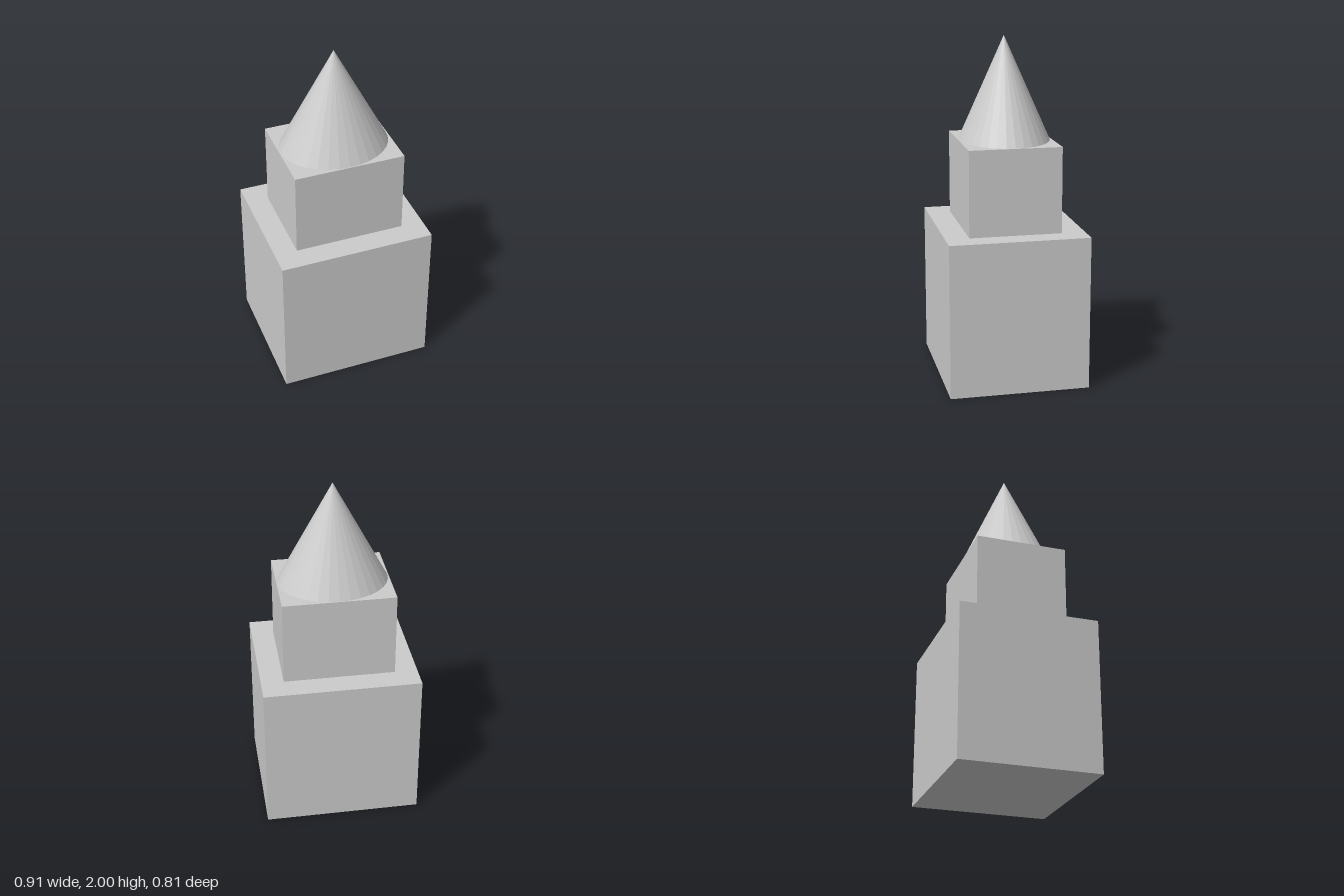
import * as THREE from 'three';

export function createModel() {
  const group = new THREE.Group();
  const material = new THREE.MeshStandardMaterial({ color: 0xcccccc, flatShading: true });

  // Adds a part standing on the given height
  const addPart = (name, geometry, height, bottom) => {
    const mesh = new THREE.Mesh(geometry.translate(0, bottom + height / 2, 0), material);
    mesh.name = name;
    group.add(mesh);
  };

  // Two stacked blocks
  addPart('baseBlock', new THREE.BoxGeometry(0.912, 0.9, 0.812), 0.9, 0);
  addPart('upperBlock', new THREE.BoxGeometry(0.648, 0.5, 0.536), 0.5, 0.9);

  // Pointed roof: a faceted cone, slightly narrower front to back
  const roof = new THREE.ConeGeometry(1, 0.6, 32).scale(0.318, 1, 0.264);
  addPart('coneRoof', roof, 0.6, 1.4);

  return group;
}
